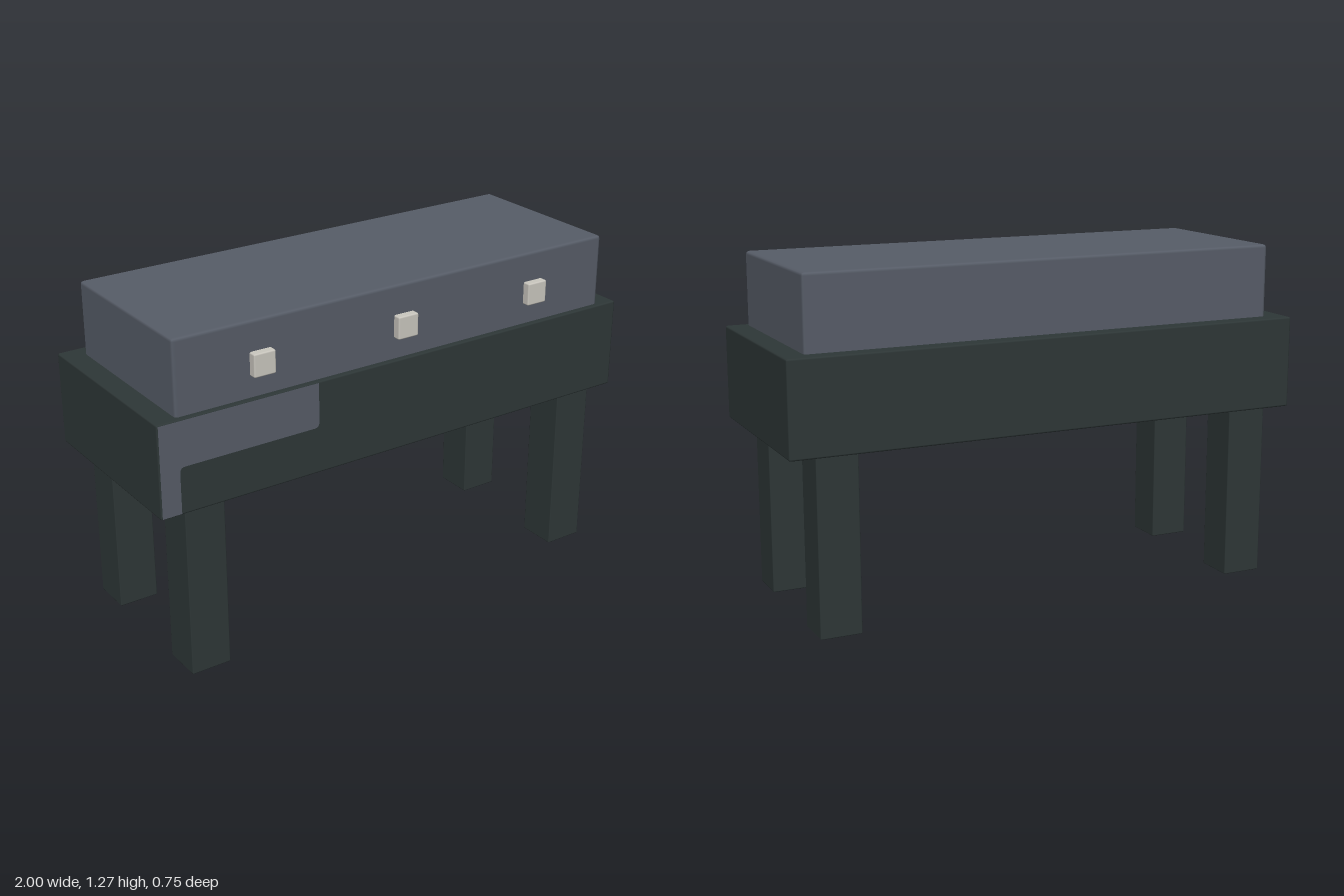
import * as THREE from 'three';
import { RoundedBoxGeometry } from 'three/addons/geometries/RoundedBoxGeometry.js';

const paint = (name, color) => {
  const m = new THREE.MeshStandardMaterial({ color });
  m.name = name;
  return m;
};

export function createModel() {
  const slate = paint('slate grey', 0x575d68);
  const dark = paint('dark green grey', 0x2e3737);
  const ivory = paint('ivory', 0xcbc8c0);

  const model = new THREE.Group();
  model.name = 'cabinetTable';

  // Box with a narrow bevel, given by its lowest and highest corners
  const block = (name, material, min, max, bevel) => {
    const [w, h, d] = max.map((v, i) => v - min[i]);
    const mesh = new THREE.Mesh(new RoundedBoxGeometry(w, h, d, 1, bevel), material);
    mesh.position.set(...max.map((v, i) => (v + min[i]) / 2));
    mesh.name = name;
    model.add(mesh);
  };

  // Main body and the upper box standing on it, set towards the front
  block('body', dark, [-1, 0.652, -0.373], [1, 1, 0.367], 0.007);
  block('upperBox', slate, [-0.92, 0.98, -0.315], [0.92, 1.275, 0.348], 0.012);

  // Four square legs
  for (const x of [-0.825, 0.825]) {
    for (const z of [-0.277, 0.273]) {
      block('leg', dark, [x - 0.077, 0, z - 0.077], [x + 0.077, 0.67, z + 0.077], 0.004);
    }
  }

  // Knobs along the front of the upper box
  for (const x of [-0.59, 0, 0.59]) {
    block('knob', ivory, [x - 0.043, 1.078, 0.338], [x + 0.043, 1.164, 0.377], 0.006);
  }

  // Painted L-shaped patch on the front of the body, with softened corners
  const r = 0.02;
  const patch = new THREE.Shape();
  patch.moveTo(-0.995, 0.657);
  patch.lineTo(-0.922, 0.657);
  patch.lineTo(-0.922, 0.828 - r);
  patch.quadraticCurveTo(-0.922, 0.828, -0.922 + r, 0.828);
  patch.lineTo(-0.373 - r, 0.828);
  patch.quadraticCurveTo(-0.373, 0.828, -0.373, 0.828 + r);
  patch.lineTo(-0.373, 0.996);
  patch.lineTo(-0.995, 0.996);
  patch.closePath();
  const panel = new THREE.Mesh(new THREE.ShapeGeometry(patch, 6), slate);
  panel.position.z = 0.3685;
  panel.name = 'paintedPatch';
  model.add(panel);

  return model;
}
